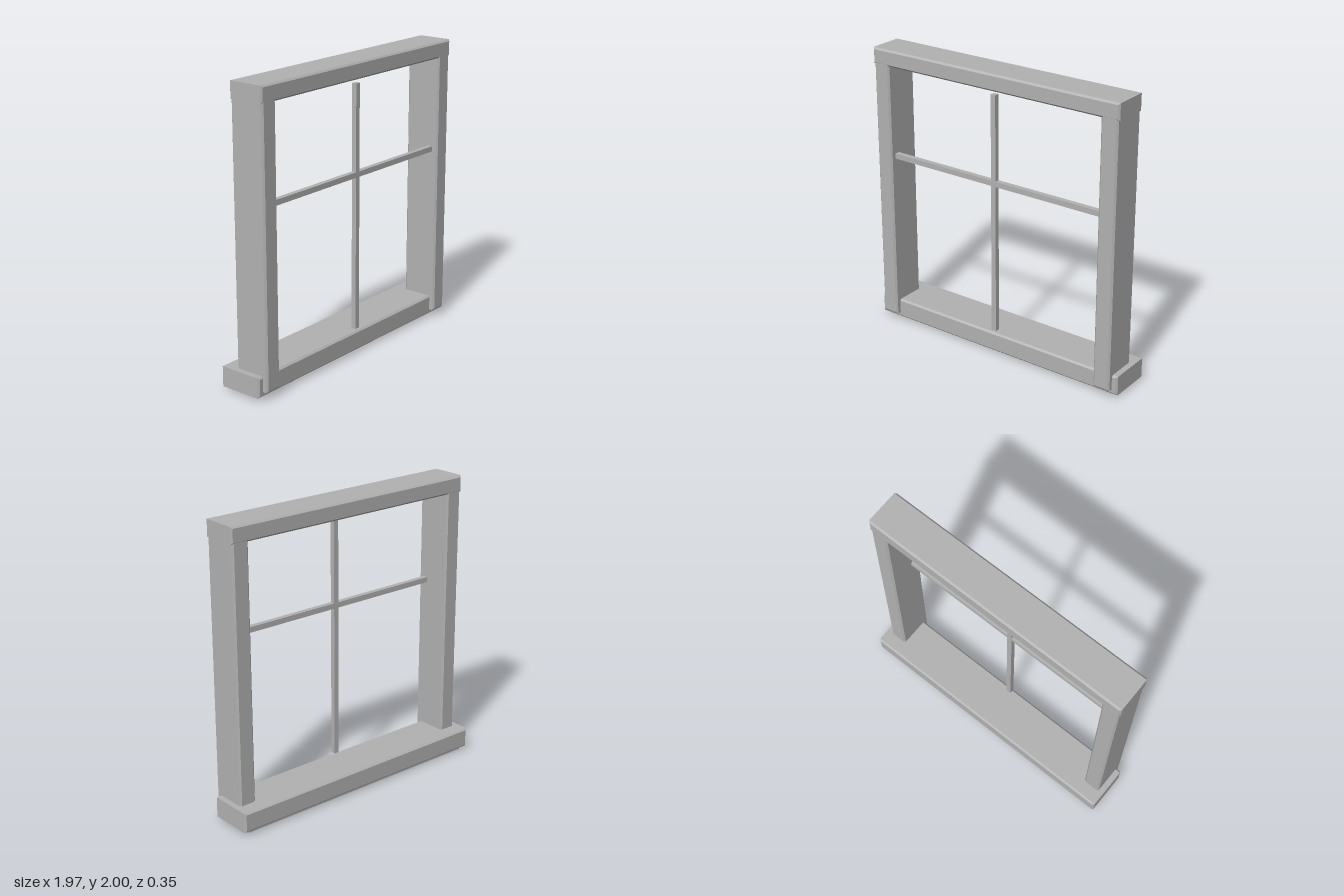
import * as THREE from 'three';

const paint = new THREE.MeshStandardMaterial({ color: 0xb2b2b2 });
paint.name = 'grey paint';

// Box between two corners, with every edge chamfered by c (0 = sharp)
function board(name, [x0, y0, z0], [x1, y1, z1], c = 0) {
  const w = x1 - x0, h = y1 - y0, d = z1 - z0;
  let geometry;
  if (c > 0) {
    const a = w / 2 - c, b = h / 2 - c;
    const face = new THREE.Shape([
      new THREE.Vector2(-a, -b), new THREE.Vector2(a, -b),
      new THREE.Vector2(a, b), new THREE.Vector2(-a, b),
    ]);
    geometry = new THREE.ExtrudeGeometry(face, {
      depth: d - 2 * c, bevelEnabled: true, bevelSize: c, bevelThickness: c, bevelSegments: 1,
    });
    geometry.translate(0, 0, c - d / 2);
  } else {
    geometry = new THREE.BoxGeometry(w, h, d);
  }
  const mesh = new THREE.Mesh(geometry, paint);
  mesh.name = name;
  mesh.position.set((x0 + x1) / 2, (y0 + y1) / 2, (z0 + z1) / 2);
  return mesh;
}

export function createModel() {
  const model = new THREE.Group();
  model.name = 'windowFrame';
  const chamfer = 0.012;
  const back = -0.078, front = 0.177;

  // Outer frame: side posts and header
  model.add(
    board('leftPost', [0.826, 0.055, back], [0.947, 1.91, front - 0.001], chamfer),
    board('rightPost', [-0.947, 0.055, back], [-0.826, 1.91, front - 0.001], chamfer),
    board('header', [-0.955, 1.887, back - 0.002], [0.955, 2, front], chamfer),
  );

  // Sill reaching out at the back, with a drip strip beneath it
  model.add(
    board('sill', [-0.987, 0.021, -0.177], [0.987, 0.159, 0.139], chamfer),
    board('dripStrip', [-0.942, 0, -0.15], [0.942, 0.03, -0.113]),
  );

  // Crossing glazing bars
  model.add(
    board('verticalBar', [-0.018, 0.175, 0.099], [0.018, 1.85, 0.133]),
    board('horizontalBar', [-0.832, 1.229, 0.098], [0.832, 1.266, 0.134]),
  );
  return model;
}
